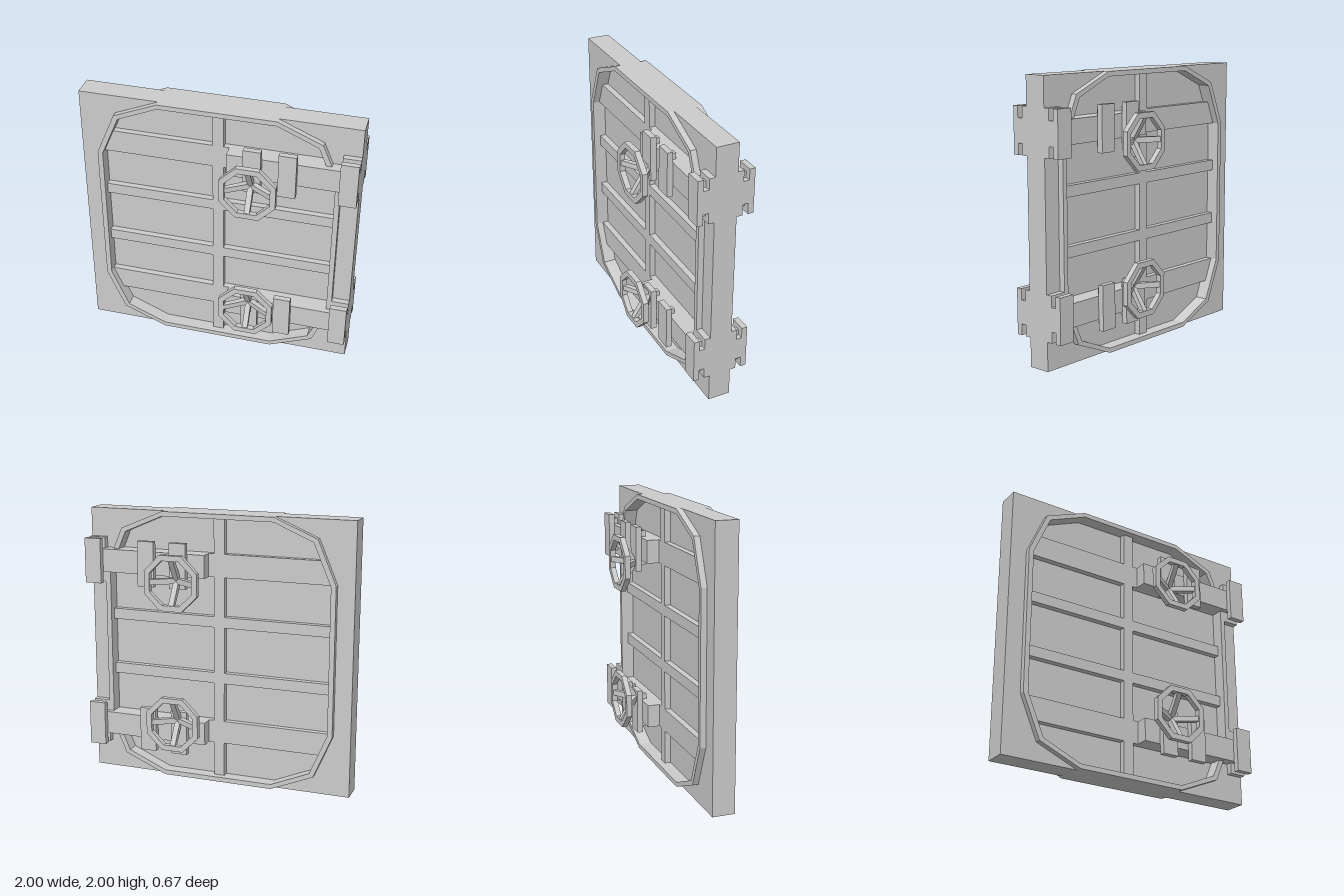
import * as THREE from 'three';

const mat = new THREE.MeshStandardMaterial({ color: 0xcccccc, flatShading: true });

// box from its x, y and z limits
function box(parent, name, [x0, x1], [y0, y1], [z0, z1]) {
  const m = new THREE.Mesh(new THREE.BoxGeometry(x1 - x0, y1 - y0, z1 - z0), mat);
  m.position.set((x0 + x1) / 2, (y0 + y1) / 2, (z0 + z1) / 2);
  m.name = name;
  parent.add(m);
  return m;
}

const points = (list) => list.map(([x, y]) => new THREE.Vector2(x, y));

// extrusion of an outline along z, centred on z = 0
function slab(parent, name, outline, hole, depth) {
  const shape = new THREE.Shape(points(outline));
  if (hole) shape.holes.push(new THREE.Path(points(hole)));
  const geo = new THREE.ExtrudeGeometry(shape, { depth, bevelEnabled: false });
  geo.translate(0, 0, -depth / 2);
  const m = new THREE.Mesh(geo, mat);
  m.name = name;
  parent.add(m);
  return m;
}

// twelve-sided outline, one quadrant mirrored about the centre
function frameOutline(quadrant) {
  const back = [...quadrant].reverse();
  return [
    ...quadrant,
    ...back.map(([x, y]) => [-x, y]),
    ...quadrant.map(([x, y]) => [-x, -y]),
    ...back.map(([x, y]) => [x, -y]),
  ];
}

const octagon = (apothem) => Array.from({ length: 8 }, (_, i) => {
  const a = (i + 0.5) * Math.PI / 4, r = apothem / Math.cos(Math.PI / 8);
  return [r * Math.cos(a), r * Math.sin(a)];
});

// octagonal hand wheel with four spokes sloping back to the hub
function handWheel() {
  const g = new THREE.Group();
  g.name = 'handWheel';
  slab(g, 'wheelRing', octagon(0.2), octagon(0.16), 0.04).position.z = 0.315;
  const profile = [[0, 0.2], [0.04, 0.205], [0.17, 0.295], [0.165, 0.33], [0, 0.225]];
  for (let i = 0; i < 4; i++) {
    const arm = new THREE.Group();
    arm.name = 'wheelSpoke';
    slab(arm, 'spoke', profile, null, 0.04).rotation.x = Math.PI / 2;
    arm.rotation.z = i * Math.PI / 2;
    g.add(arm);
  }
  return g;
}

// hinge arm with clamps and wheel; s = 1 for upper, -1 for lower
function hinge(s) {
  const g = new THREE.Group();
  g.name = s > 0 ? 'upperHinge' : 'lowerHinge';
  const ys = (a, b) => (s > 0 ? [a, b] : [-b, -a]);
  box(g, 'hingeArm', [0.08, 1], ys(0.54, 0.71), [0.07, 0.165]);
  box(g, 'hingeBase', [0.875, 1], ys(0.46, 0.79), [0.03, 0.125]);
  for (const x of [0.27, 0.517, 0.9375]) {
    box(g, 'clampPlate', [x - 0.0625, x + 0.0625], ys(0.46, 0.79), [0.165, 0.207]);
    box(g, 'clampPost', [x - 0.02, x + 0.02], ys(0.5, 0.755), [0.12, 0.17]);
  }
  const wheel = handWheel();
  wheel.position.set(0.27, s * 0.523, 0);
  g.add(wheel);
  return g;
}

// one face of the door: ribs, centre bar and two hinges
function face(name) {
  const g = new THREE.Group();
  g.name = name;
  const ribZ = [0, 0.075];
  for (const [a, b] of [[0.54, 0.71], [0.17, 0.25], [-0.25, -0.17], [-0.71, -0.54]])
    box(g, 'rib', [-0.85, 0.85], [a, b], ribZ);
  box(g, 'centreBar', [-0.04, 0.04], [-0.98, 0.98], ribZ);
  g.add(hinge(1), hinge(-1));
  return g;
}

export function createModel() {
  const model = new THREE.Group();
  model.name = 'door';
  const body = new THREE.Group();
  body.name = 'doorBody';
  body.position.y = 1;
  model.add(body);

  // square wall plate, recessed panel and raised rim
  const outer = frameOutline([[0.875, 0.548], [0.74, 0.865], [0.42, 1]]);
  const middle = frameOutline([[0.86, 0.545], [0.725, 0.85], [0.42, 0.98]]);
  const inner = frameOutline([[0.838, 0.54], [0.71, 0.84], [0.42, 0.965]]);
  slab(body, 'wallPlate', [[-1, -1], [1, -1], [1, 1], [-1, 1]], middle, 0.164);
  slab(body, 'panel', middle, null, 0.06);
  slab(body, 'rim', outer, inner, 0.25);

  // the back is the front turned half round the x axis
  const back = face('backFace');
  back.rotation.x = Math.PI;
  body.add(face('frontFace'), back);
  return model;
}
